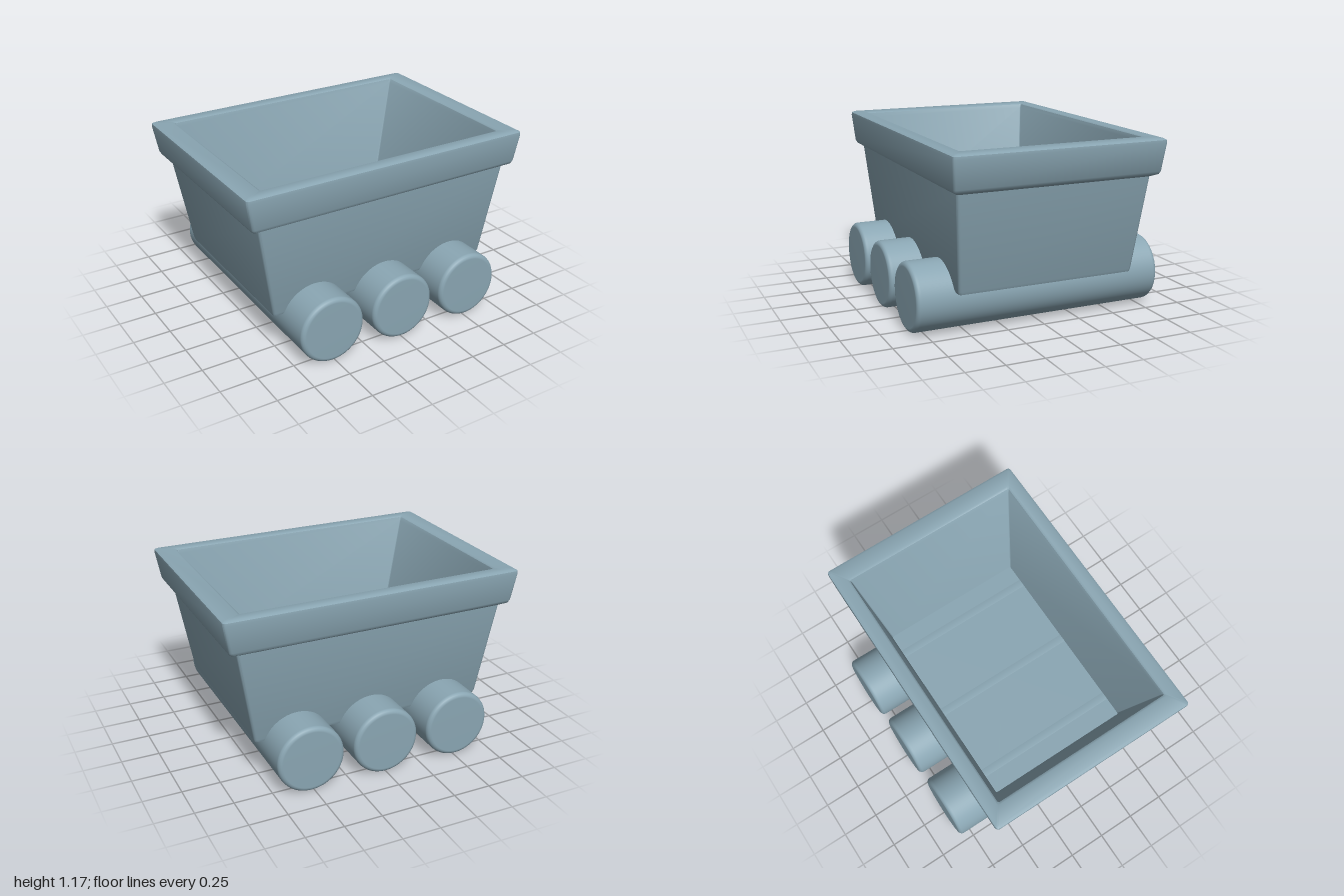
import * as THREE from 'three';
import { toCreasedNormals } from 'three/addons/utils/BufferGeometryUtils.js';

const CORNER_STEPS = 4;

// Rounded rectangle ring; half sizes hx, hz at height y
function ring([hx, hz, y, r]) {
  const pts = [];
  [[1, 1], [-1, 1], [-1, -1], [1, -1]].forEach(([sx, sz], q) => {
    for (let k = 0; k <= CORNER_STEPS; k++) {
      const a = (q + k / CORNER_STEPS) * Math.PI / 2;
      pts.push([sx * (hx - r) + r * Math.cos(a), y, sz * (hz - r) + r * Math.sin(a)]);
    }
  });
  return pts;
}

// Skin a closed shell through the rings; the first and last rings are single points
function loft(sections) {
  const rings = sections.map(ring);
  const n = rings[0].length, pos = [];
  for (let i = 0; i < rings.length - 1; i++) {
    for (let j = 0; j < n; j++) {
      const k = (j + 1) % n;
      const a = rings[i][j], b = rings[i][k], c = rings[i + 1][j], d = rings[i + 1][k];
      if (i > 0) pos.push(...a, ...c, ...b);
      if (i < rings.length - 2) pos.push(...b, ...c, ...d);
    }
  }
  const g = new THREE.BufferGeometry();
  g.setAttribute('position', new THREE.Float32BufferAttribute(pos, 3));
  return toCreasedNormals(g, 0.75);
}

// Roller along z with rounded rims
function rollerGeometry(radius, length, bevel) {
  const h = length / 2, pts = [new THREE.Vector2(0, -h)];
  for (const s of [-1, 1]) {
    for (let k = 0; k <= 4; k++) {
      const a = (s < 0 ? k - 4 : k) / 4 * Math.PI / 2;
      pts.push(new THREE.Vector2(radius - bevel + bevel * Math.cos(a), s * (h - bevel) + bevel * Math.sin(a)));
    }
  }
  pts.push(new THREE.Vector2(0, h));
  return new THREE.LatheGeometry(pts, 64).rotateX(Math.PI / 2);
}

export function createModel() {
  const group = new THREE.Group();
  group.name = 'cart';
  const material = new THREE.MeshStandardMaterial({ color: 0x8aa6b3 });

  // Tub: underside, tapered wall, flared rim, then the hollow down to the floor
  const tub = new THREE.Mesh(loft([
    [0, 0, 0.28, 0],
    [0.775, 0.575, 0.28, 0.01],
    [0.79, 0.59, 0.285, 0.015],
    [0.798, 0.598, 0.305, 0.02],
    [0.905, 0.648, 0.925, 0.02],
    [0.955, 0.682, 0.945, 0.02],
    [0.966, 0.69, 0.965, 0.02],
    [0.998, 0.705, 1.145, 0.02],
    [0.997, 0.703, 1.163, 0.02],
    [0.98, 0.687, 1.172, 0.015],
    [0.88, 0.622, 1.172, 0.01],
    [0.865, 0.61, 1.165, 0.01],
    [0.855, 0.603, 1.14, 0.01],
    [0.67, 0.5, 0.444, 0.01],
    [0, 0, 0.444, 0],
  ]), material);
  tub.name = 'tub';
  group.add(tub);

  // Three rollers running the full width under the tub
  const roller = rollerGeometry(0.222, 1.675, 0.03);
  [-0.513, 0.003, 0.517].forEach((x, i) => {
    const mesh = new THREE.Mesh(roller, material);
    mesh.name = `roller${i + 1}`;
    mesh.position.set(x, 0.224, 0);
    group.add(mesh);
  });

  return group;
}
